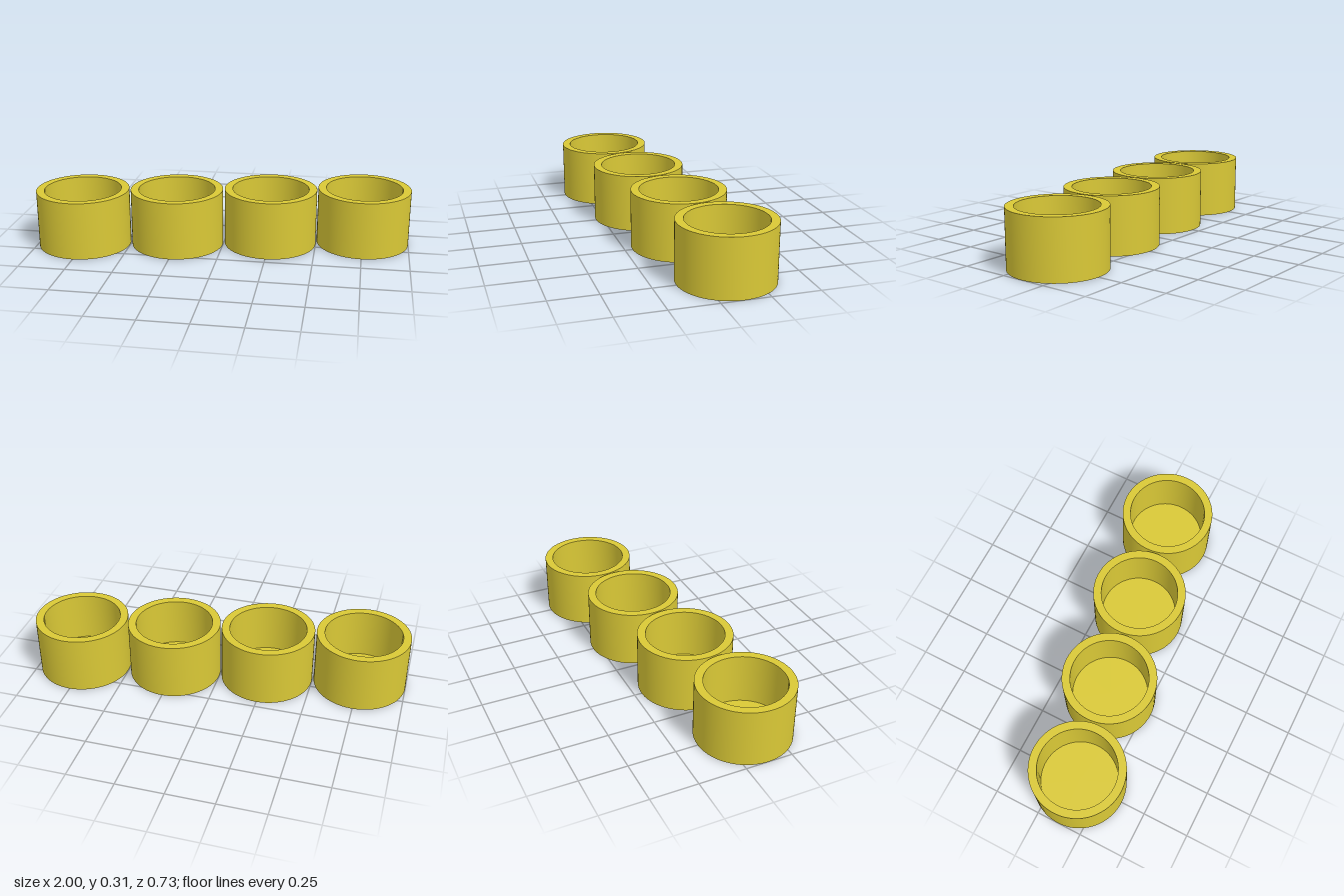
import * as THREE from 'three';
import { toCreasedNormals } from 'three/addons/utils/BufferGeometryUtils.js';

const RADIUS = 0.249, INNER = 0.206, HEIGHT = 0.31, FLOOR = 0.04;

// Open cup: closed base, outer wall, flat rim, inner wall, inner floor
function cupGeometry() {
  const profile = [
    [0, 0], [RADIUS, 0], [RADIUS, HEIGHT], [INNER, HEIGHT], [INNER, FLOOR], [0, FLOOR],
  ].map(([x, y]) => new THREE.Vector2(x, y));
  return toCreasedNormals(new THREE.LatheGeometry(profile, 96), Math.PI / 6);
}

export function createModel() {
  const group = new THREE.Group();
  group.name = 'cupRow';
  const material = new THREE.MeshStandardMaterial({ color: 0xd9c836 });
  const geometry = cupGeometry();

  // Four touching cups in a slightly slanted row
  for (let i = 0; i < 4; i++) {
    const step = i - 1.5;
    const cup = new THREE.Mesh(geometry, material);
    cup.name = `cup${i + 1}`;
    cup.position.set(step * 0.5007, 0, step * -0.0785);
    group.add(cup);
  }
  return group;
}
